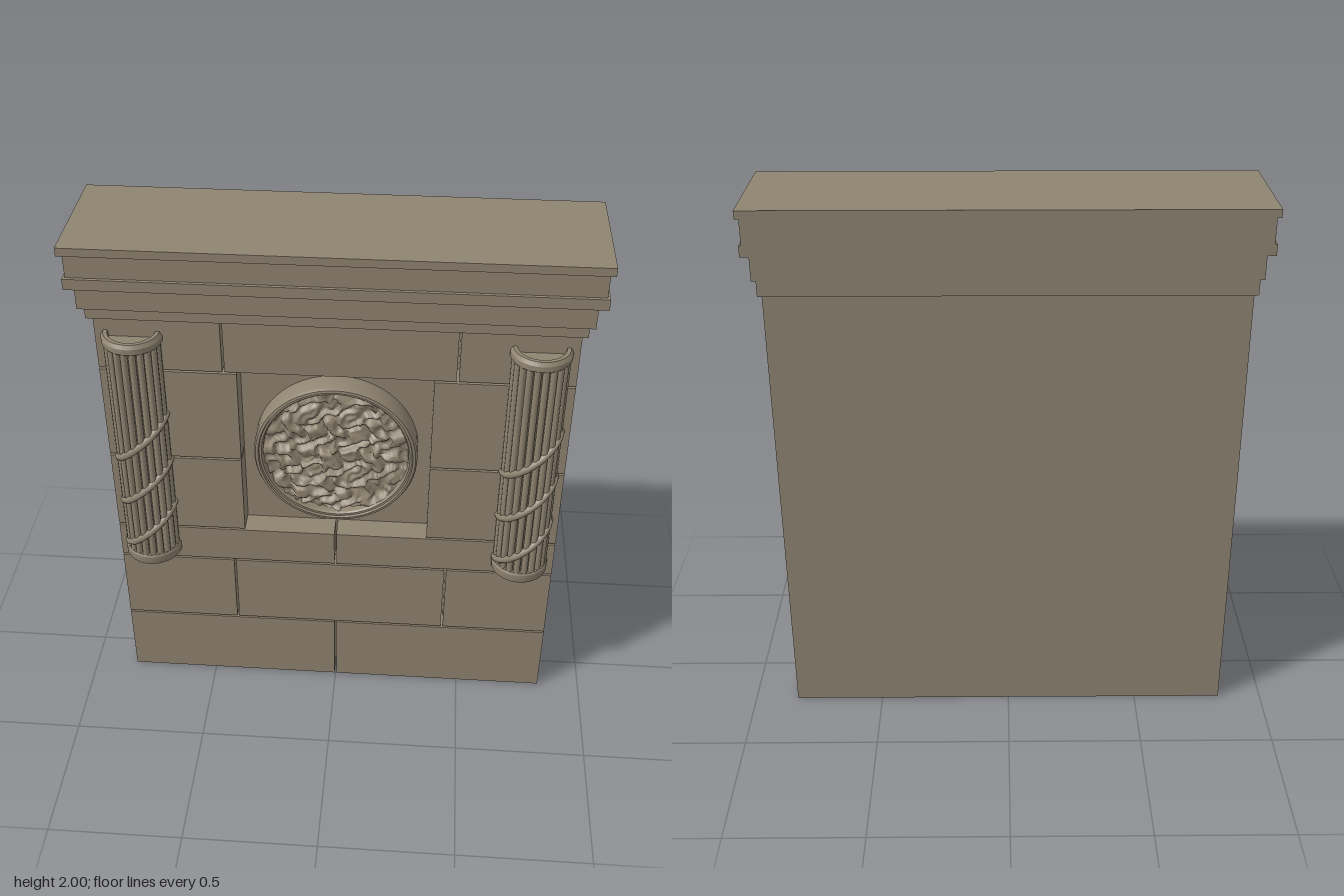
import * as THREE from 'three';
import { toCreasedNormals } from 'three/addons/utils/BufferGeometryUtils.js';

export function createModel() {
  const model = new THREE.Group();
  const stone = new THREE.MeshStandardMaterial({ color: 0x8f8471 });
  stone.name = 'warm grey stone';
  stone.side = THREE.DoubleSide;

  const add = (name, geometry, parent = model) => {
    const mesh = new THREE.Mesh(geometry, stone);
    mesh.name = name;
    parent.add(mesh);
    return mesh;
  };
  const box = (name, x0, x1, y0, y1, z0, z1, parent) =>
    add(name, new THREE.BoxGeometry(x1 - x0, y1 - y0, z1 - z0), parent)
      .position.set((x0 + x1) / 2, (y0 + y1) / 2, (z0 + z1) / 2);
  const lathe = (profile, segments, start, length) =>
    toCreasedNormals(new THREE.LatheGeometry(
      profile.map(([r, y]) => new THREE.Vector2(r, y)), segments, start, length), 0.5);

  // Solid wall behind the facing blocks
  const W = 0.835, BACK = -0.23, CORE = 0.04, FRONT = 0.132, GAP = 0.004;
  box('wallCore', -W, W, 0, 1.7, BACK, CORE);

  // Facing blocks: each course is [bottom, top, [start, end] of every block]
  const split = [[-W, -0.393], [-0.393, 0.427], [0.427, W]];
  const halves = [[-W, 0], [0, W]];
  const sides = [[-W, -0.343], [0.343, W]];
  const courses = [
    [0, 0.297, halves], [0.297, 0.604, split], [0.604, 0.76, halves],
    [0.76, 1.095, sides], [1.095, 1.476, sides], [1.476, 1.7, split],
  ];
  const blocks = new THREE.Group();
  blocks.name = 'facingBlocks';
  model.add(blocks);
  for (const [y0, y1, spans] of courses) {
    for (const [x0, x1] of spans) {
      box('facingBlock',
        x0 === -W ? x0 : x0 + GAP, x1 === W ? x1 : x1 - GAP,
        y0 === 0 ? 0 : y0 + GAP, y1 - GAP, CORE, FRONT, blocks);
    }
  }

  // Stepped cornice, flush at the back: [bottom, top, half width, front]
  const cornice = new THREE.Group();
  cornice.name = 'cornice';
  model.add(cornice);
  for (const [y0, y1, w, z] of [
    [1.7, 1.755, 0.85, 0.167], [1.755, 1.84, 0.866, 0.2], [1.84, 1.88, 0.897, 0.222],
    [1.88, 1.97, 0.888, 0.21], [1.97, 2, 0.903, 0.232],
  ]) box('corniceStep', -w, w, y0, y1, -0.235, z, cornice);

  // Round medallion standing in the niche
  const medallion = new THREE.Group();
  medallion.name = 'medallion';
  medallion.position.y = 1.123;
  model.add(medallion);
  const rim = add('medallionRim', lathe([
    [0.3, CORE], [0.3, 0.116], [0.294, 0.128], [0.284, 0.13], [0.281, 0.121],
    [0.273, 0.121], [0.268, 0.114], [0.264, 0.08],
  ], 64), medallion);
  rim.rotation.x = Math.PI / 2;

  // Rough carved relief inside the rim
  const relief = new THREE.RingGeometry(0, 0.267, 128, 44);
  const p = relief.attributes.position;
  for (let i = 0; i < p.count; i++) {
    const x = p.getX(i), y = p.getY(i);
    const u = x + 0.022 * Math.sin(47 * y + 1.3) + 0.012 * Math.sin(83 * x + 29 * y);
    const v = y + 0.022 * Math.sin(41 * x + 0.4) + 0.012 * Math.sin(71 * y - 37 * x);
    const n = Math.sin(62 * u + 11 * v) * Math.sin(74 * v - 17 * u)
      + 0.5 * Math.sin(118 * u - 61 * v + 2) + 0.3 * Math.sin(151 * v + 77 * u);
    p.setZ(i, 0.1 + 0.014 * Math.tanh(1.8 * n));
  }
  relief.computeVertexNormals();
  add('medallionRelief', relief, medallion);

  // Half-round reeded columns, each wrapped by three slanting bands
  const R = 0.09, HALF = Math.PI / 2;
  class BandCurve extends THREE.Curve {
    getPoint(t, target = new THREE.Vector3()) {
      const a = (t - 0.5) * Math.PI;
      const s = 0.6 * Math.sin(a) + 0.4 * (2 * t - 1);
      return target.set(0.095 * Math.sin(a), 0.098 * s, 0.095 * Math.cos(a));
    }
  }
  for (const [side, x] of [['right', -0.705], ['left', 0.705]]) {
    const column = new THREE.Group();
    column.name = side + 'Column';
    column.position.set(x, 0, FRONT - 0.002);
    model.add(column);

    add('columnShaft', new THREE.CylinderGeometry(
      R - 0.006, R - 0.006, 0.94, 24, 1, false, -HALF, Math.PI), column).position.y = 1.14;
    for (let i = 0; i < 10; i++) {
      const a = (i - 4.5) * Math.PI / 10;
      add('columnReed', new THREE.CylinderGeometry(0.0125, 0.0125, 0.94, 10), column)
        .position.set(R * Math.sin(a), 1.14, R * Math.cos(a));
    }
    add('columnBase', lathe([
      [0, 0.65], [0.104, 0.65], [0.106, 0.655], [0.106, 0.685], [0.102, 0.692], [0.08, 0.692],
    ], 32, -HALF, Math.PI), column);
    add('columnCap', lathe([
      [0.08, 1.598], [0.104, 1.598], [0.107, 1.603], [0.107, 1.622], [0.098, 1.636],
      [0.084, 1.636], [0.08, 1.612], [0, 1.612],
    ], 32, -HALF, Math.PI), column);
    for (const y of [0.79, 0.993, 1.196])
      add('columnBand', new THREE.TubeGeometry(new BandCurve(), 32, 0.014, 8), column).position.y = y;
  }

  return model;
}
